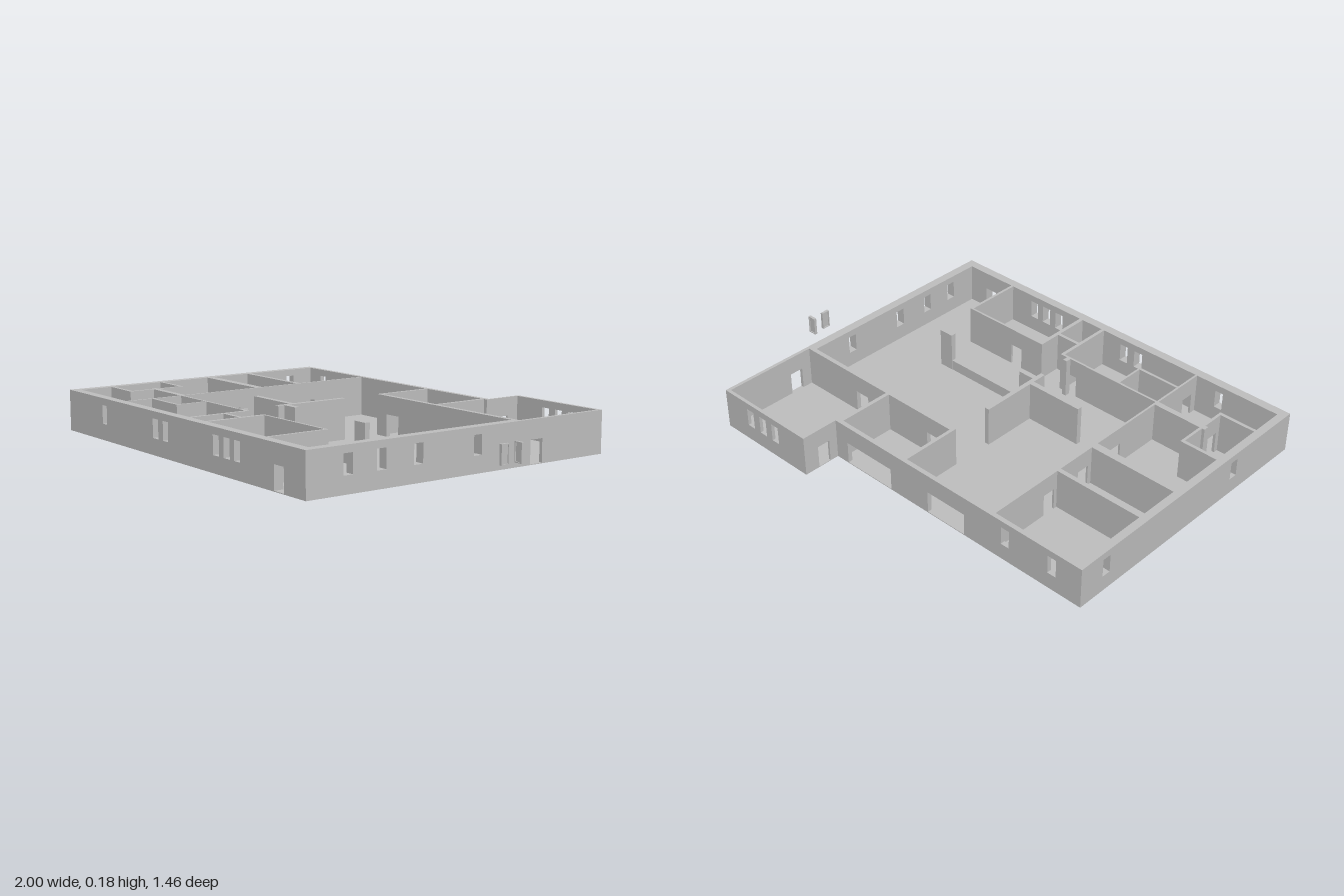
import * as THREE from 'three';

const H = 0.18; // wall height
const DOOR = 0.1; // door head height
const SILL = 0.07, HEAD = 0.15; // window opening

export function createModel() {
  const model = new THREE.Group();
  const plaster = new THREE.MeshStandardMaterial({ color: 0xbfbfbf });
  plaster.name = 'grey plaster';

  function add(name, geometry) {
    const mesh = new THREE.Mesh(geometry, plaster);
    mesh.name = name;
    model.add(mesh);
    return mesh;
  }

  // Wall running along x or z from a to b, between c0 and c1 across.
  // Doors are notches in the outline, windows are holes; both list [from, to].
  function wall(name, axis, a, b, c0, c1, doors = [], windows = [], height = H) {
    const s = new THREE.Shape();
    s.moveTo(a, 0);
    for (const [d0, d1] of doors) {
      s.lineTo(d0, 0);
      s.lineTo(d0, DOOR);
      s.lineTo(d1, DOOR);
      s.lineTo(d1, 0);
    }
    s.lineTo(b, 0);
    s.lineTo(b, height);
    s.lineTo(a, height);
    s.closePath();
    for (const [w0, w1] of windows) {
      const hole = new THREE.Path();
      hole.moveTo(w0, SILL);
      hole.lineTo(w0, HEAD);
      hole.lineTo(w1, HEAD);
      hole.lineTo(w1, SILL);
      hole.closePath();
      s.holes.push(hole);
    }
    const g = new THREE.ExtrudeGeometry(s, { depth: c1 - c0, bevelEnabled: false });
    if (axis === 'x') g.translate(0, 0, c0);
    else g.rotateY(-Math.PI / 2).translate(c1, 0, 0);
    return add(name, g);
  }

  // Floor slab with the rear extension
  const floor = new THREE.Shape([
    [-1, -0.73], [0.78, -0.73], [0.78, 0.73], [0.295, 0.73], [0.295, 0.56], [-1, 0.56],
  ].map(([x, y]) => new THREE.Vector2(x, y)));
  add('floor', new THREE.ExtrudeGeometry(floor, { depth: 0.003, bevelEnabled: false }).rotateX(-Math.PI / 2));

  // Outer walls
  wall('frontWall', 'x', -1, 0.78, 0.69, 0.73, [[0.585, 0.647]],
    [[-0.70, -0.662], [-0.275, -0.232], [-0.195, -0.155], [0.178, 0.22], [0.252, 0.295], [0.325, 0.365]]);
  wall('leftSideWall', 'z', -0.54, 0.69, -1, -0.965, [], [[-0.44, -0.40], [0.335, 0.375]]);
  wall('backWall', 'x', -1, 0.305, -0.56, -0.54, [[-0.42, -0.225], [-0.02, 0.23]],
    [[-0.88, -0.84], [-0.65, -0.61]]);
  wall('rightSideWall', 'z', -0.27, 0.69, 0.74, 0.78, [],
    [[-0.085, -0.045], [0.203, 0.246], [0.375, 0.417], [0.525, 0.568]]);
  wall('extensionSideWall', 'z', -0.715, -0.27, 0.765, 0.78, [[-0.4, -0.337]]);
  wall('extensionBackWall', 'x', 0.295, 0.78, -0.73, -0.715, [],
    [[0.455, 0.495], [0.53, 0.57], [0.607, 0.647]]);
  wall('extensionInnerSideWall', 'z', -0.715, -0.56, 0.295, 0.305, [[-0.66, -0.6]]);

  // Rear rooms
  wall('rearRoomsWall', 'x', -0.095, 0.765, -0.29, -0.27, [[-0.03, 0.05], [0.4, 0.47]]);
  wall('rearStoreLeftWall', 'z', -0.54, -0.29, -0.095, -0.08);
  wall('rearStoreRightWall', 'z', -0.54, -0.29, 0.27, 0.287);

  // Rooms along the left side
  wall('corridorWall', 'z', -0.54, 0.69, -0.565, -0.556, [[-0.27, -0.21], [-0.07, -0.01], [0.13, 0.19], [0.6, 0.66]]);
  wall('bedroomDivider', 'x', -0.965, -0.565, -0.195, -0.175);
  wall('studyDivider', 'x', -0.965, -0.565, 0.01, 0.045);
  wall('bathBackWall', 'x', -0.965, -0.79, 0.28, 0.295);
  wall('bathSideWall', 'z', 0.295, 0.53, -0.802, -0.79, [[0.455, 0.51]]);
  wall('bathFrontWall', 'x', -0.965, -0.79, 0.53, 0.545);
  wall('cornerRoomWall', 'x', -0.815, -0.565, 0.405, 0.43);

  // Rooms along the front
  wall('frontRoomWall', 'x', -0.556, -0.045, 0.42, 0.43, [[-0.135, -0.075]]);
  wall('closetFrontWall', 'x', -0.556, -0.353, 0.56, 0.572);
  wall('closetSideWall', 'z', 0.43, 0.56, -0.362, -0.353);
  wall('frontRoomSideWall', 'z', 0.43, 0.69, -0.06, -0.045);
  wall('entryStub', 'z', 0.395, 0.42, -0.1, -0.08);
  wall('nookWall', 'x', -0.045, 0.062, 0.525, 0.54);
  wall('officeLeftWall', 'z', 0.42, 0.69, 0.062, 0.079);
  wall('officeBackWall', 'x', 0.079, 0.49, 0.42, 0.43, [[0.18, 0.24]]);
  wall('officeRightWall', 'z', 0.43, 0.69, 0.478, 0.49);

  // Central partitions with a low counter between two piers
  wall('centreWall', 'z', -0.085, 0.255, -0.1, -0.08);
  wall('centreSideWall', 'x', -0.36, -0.1, 0.165, 0.188);
  wall('counterLeftPier', 'x', -0.08, -0.005, 0.202, 0.225);
  wall('counter', 'x', -0.005, 0.393, 0.204, 0.223, [], [], 0.05);
  wall('counterRightPier', 'x', 0.393, 0.46, 0.202, 0.225);

  // Two loose window units standing outside the right wall
  function windowUnit(name, width, depth, x, z, turn) {
    const unit = new THREE.Group();
    unit.name = name;
    const h = HEAD - SILL, bar = 0.004;
    const part = (n, w, hh, d, px, py) => {
      const m = new THREE.Mesh(new THREE.BoxGeometry(w, hh, d), plaster);
      m.name = n;
      m.position.set(px, py, 0);
      unit.add(m);
    };
    for (const s of [-1, 1]) {
      part('jamb', bar, h, depth, s * (width - bar) / 2, 0);
      part('rail', width - 2 * bar, bar, depth, 0, s * (h - bar) / 2);
    }
    part('pane', width - 2 * bar, h - 2 * bar, 0.003, 0, 0);
    unit.position.set(x, (SILL + HEAD) / 2, z);
    unit.rotation.y = turn;
    model.add(unit);
  }
  windowUnit('looseWindowAcross', 0.038, 0.012, 0.981, -0.086, 0);
  windowUnit('looseWindowAlong', 0.038, 0.012, 0.977, -0.016, Math.PI / 2);

  return model;
}
